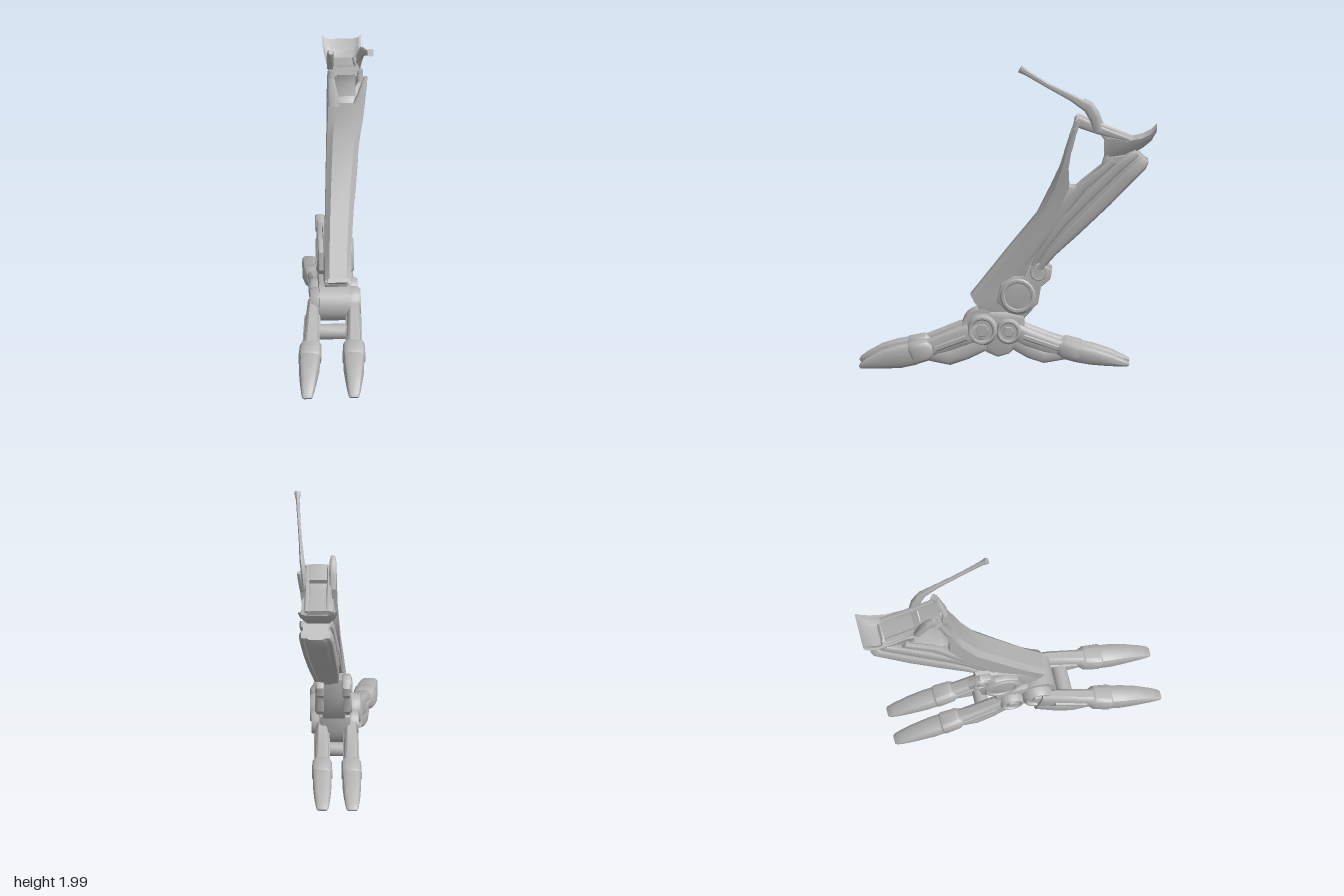
import * as THREE from 'three';
import { toCreasedNormals } from 'three/addons/utils/BufferGeometryUtils.js';

const metal = new THREE.MeshStandardMaterial({ color: 0xb4b4b4, side: THREE.DoubleSide });
metal.name = 'grey metal';

export function createModel() {
  const root = new THREE.Group();
  root.name = 'mechanicalLeg';
  const add = (geo, name, parent = root) => {
    const mesh = new THREE.Mesh(toCreasedNormals(geo, 0.6), metal);
    mesh.name = name;
    parent.add(mesh);
    return mesh;
  };
  // the leg drifts sideways as it rises
  const lean = (y) => 0.02 + (y - 0.45) * 0.085;

  // grid of points joined row by row; closed rings get end caps
  const skin = (rings, closed) => {
    const n = rings[0].length, idx = [];
    const cols = closed ? n : n - 1;
    for (let i = 0; i < rings.length - 1; i++)
      for (let j = 0; j < cols; j++) {
        const a = i * n + j, b = i * n + (j + 1) % n;
        idx.push(a, b, b + n, a, b + n, a + n);
      }
    if (closed) {
      const e = (rings.length - 1) * n;
      for (let j = 1; j < n - 1; j++) idx.push(0, j + 1, j, e, e + j, e + j + 1);
    }
    const g = new THREE.BufferGeometry();
    g.setAttribute('position', new THREE.Float32BufferAttribute(rings.flat(2), 3));
    g.setIndex(idx);
    return g;
  };

  // bevelled box section swept along rows of [x, y, z, halfWidth, halfHeight]
  const section = [[1, -0.45], [1, 0.45], [0.85, 0.8], [0.5, 1], [-0.5, 1], [-0.85, 0.8],
    [-1, 0.45], [-1, -0.45], [-0.85, -0.8], [-0.5, -1], [0.5, -1], [0.85, -0.8]];
  const loft = (rows) => skin(rows.map(([x, y, z, w, h], i) => {
    const p = rows[Math.max(i - 1, 0)], q = rows[Math.min(i + 1, rows.length - 1)];
    const t = new THREE.Vector2(q[2] - p[2], q[1] - p[1]).normalize();
    return section.map(([u, v]) => [x + u * w, y + v * h * t.x, z - v * h * t.y]);
  }), true);

  // side outline of [z, y] points extruded across x
  const plate = (pts, x0, x1, bevel = 0.012) => {
    const shape = new THREE.Shape(pts.map(([z, y]) => new THREE.Vector2(-z, y)));
    const g = new THREE.ExtrudeGeometry(shape, {
      depth: x1 - x0 - 2 * bevel, bevelEnabled: true, bevelThickness: bevel,
      bevelSize: bevel, bevelOffset: -bevel, bevelSegments: 2,
    });
    return g.translate(0, 0, x0 + bevel).rotateY(Math.PI / 2);
  };

  // round joint cover with raised rim and recessed face, facing outward along side
  const disc = (name, side, x, y, z, r, depth, bolt) => {
    const joint = new THREE.Group();
    joint.name = name;
    const prof = [[0, -depth], [r, -depth], [r, -0.35 * depth], [r * 0.86, 0], [r * 0.74, 0],
      [r * 0.66, -0.015], [0, -0.015]].map(([a, b]) => new THREE.Vector2(a, b));
    add(new THREE.LatheGeometry(prof, 20), name + 'Cover', joint);
    if (bolt) add(new THREE.CylinderGeometry(r * 0.4, r * 0.46, 0.02, 6).translate(0, -0.01, 0), name + 'Bolt', joint);
    joint.rotation.z = -side * Math.PI / 2;
    joint.position.set(x, y, z);
    root.add(joint);
  };

  // shin shell: [front z, front y, back z, back y, x0, x1]
  const shin = [[0.245, 0.48, 0.2, 0.41, -0.07, 0.1], [0.15, 0.6, 0.04, 0.52, -0.065, 0.105],
    [0, 0.79, -0.1, 0.7, -0.055, 0.125], [-0.18, 1.01, -0.28, 0.95, -0.04, 0.155],
    [-0.27, 1.19, -0.39, 1.19, -0.03, 0.18], [-0.33, 1.32, -0.385, 1.31, -0.022, 0.205],
    [-0.365, 1.43, -0.405, 1.43, -0.02, 0.22]];
  add(skin(shin.map(([fz, fy, bz, by, a, b]) => {
    const w = b - a, mz = fz * 0.75 + bz * 0.25, my = fy * 0.75 + by * 0.25;
    return [[a + 0.03, by, bz], [a, by, bz], [a, my, mz], [a + w * 0.17, fy, fz],
      [b - w * 0.17, fy, fz], [b, my, mz], [b, by, bz], [b - 0.03, by, bz]];
  }), false), 'shinShell');
  // fork prongs narrowing upward on each side of the notch: [y, z, x0, x1, half thickness]
  const prongs = {
    rightProng: [[1.4, -0.375, -0.018, 0.07, 0.02], [1.46, -0.395, -0.02, 0.052, 0.02],
      [1.53, -0.415, -0.02, 0.035, 0.018], [1.61, -0.44, -0.016, 0.018, 0.012]],
    leftProng: [[1.4, -0.375, 0.135, 0.214, 0.02], [1.46, -0.395, 0.165, 0.224, 0.02],
      [1.53, -0.415, 0.193, 0.233, 0.018], [1.585, -0.432, 0.215, 0.238, 0.012]],
  };
  for (const [name, rows] of Object.entries(prongs))
    add(loft(rows.map(([y, z, a, b, h]) => [(a + b) / 2, y, z, (b - a) / 2, h])), name);
  add(new THREE.BoxGeometry(0.13, 0.025, 0.07).rotateX(0.7).translate(0.015, 0.45, 0.19), 'shinLowerLip');

  // inner web joining shin and calf, sheared with the lean
  const web = plate([[0.14, 0.5], [0, 0.74], [-0.2, 0.98], [-0.36, 1.22], [-0.385, 1.2], [-0.43, 1.195], [-0.5, 1.245],
    [-0.59, 1.32], [-0.63, 1.39], [-0.76, 1.41], [-0.7, 1.3], [-0.45, 1.02], [-0.17, 0.66], [-0.06, 0.5]], -0.067, 0.073);
  const wp = web.attributes.position;
  for (let i = 0; i < wp.count; i++) wp.setX(i, wp.getX(i) + lean(wp.getY(i)));
  add(web, 'innerWeb');

  // calf pod with lengthwise ribs
  const calf = [[0.65, -0.17, 0.06, 0.04], [0.78, -0.255, 0.075, 0.06], [0.94, -0.39, 0.085, 0.085],
    [1.14, -0.59, 0.092, 0.09], [1.3, -0.75, 0.095, 0.085], [1.375, -0.83, 0.095, 0.08], [1.4, -0.855, 0.082, 0.066]];
  add(loft(calf.map(([y, z, w, h]) => [lean(y) + 0.01, y, z, w, h])), 'calfPod');
  for (const s of [-1, 1])
    for (const [name, off, k] of [['calfFrontRib', 0.55, 0.32], ['calfBackRib', -0.45, 0.42]])
      add(loft(calf.map(([y, z, w, h]) =>
        [lean(y) + 0.01 + s * (w - 0.006), y + off * h * 0.72, z + off * h * 0.72, 0.02, h * k])), name);
  // slim rods between shin and calf
  for (const s of [-1, 1])
    add(loft([[0.03 + s * 0.07, 0.68, -0.09, 0.015, 0.02], [0.06 + s * 0.075, 0.95, -0.29, 0.018, 0.022],
      [0.09 + s * 0.08, 1.2, -0.48, 0.018, 0.026], [0.1 + s * 0.08, 1.37, -0.68, 0.016, 0.02]]), 'sideRod');

  // knee scoop: [z, top y, bottom y, x0, x1]
  add(skin([[-0.615, 1.5, 1.35, 0.005, 0.195], [-0.66, 1.52, 1.37, 0, 0.2], [-0.76, 1.5, 1.4, -0.01, 0.205],
    [-0.86, 1.52, 1.45, -0.025, 0.215], [-0.92, 1.55, 1.5, -0.03, 0.222], [-0.955, 1.585, 1.56, -0.03, 0.225]]
    .map(([z, t, b, a, c]) => [[a + 0.015, t, z], [a, t, z], [a + 0.012, (t + b) / 2, z], [a + 0.05, b, z],
      [c - 0.05, b, z], [c - 0.012, (t + b) / 2, z], [c, t, z], [c - 0.015, t, z]]), false), 'kneeScoop');
  add(plate([[-0.56, 1.58], [-0.62, 1.5], [-0.625, 1.42], [-0.6, 1.34], [-0.63, 1.34], [-0.655, 1.42], [-0.65, 1.53]],
    0.03, 0.17, 0.006), 'scoopFrontWall');

  // tilted bracket frame over the opening
  for (const x of [0.03, 0.17])
    add(loft([[x, 1.625, -0.44, 0.014, 0.035], [x, 1.57, -0.58, 0.014, 0.028], [x, 1.5, -0.8, 0.014, 0.012]]), 'bracketRail');
  add(loft([[0.1, 1.63, -0.43, 0.075, 0.026], [0.1, 1.585, -0.55, 0.08, 0.02]]), 'bracketFrontBar');
  add(loft([[0.09, 1.555, -0.6, 0.075, 0.012], [0.085, 1.5, -0.8, 0.085, 0.01]]), 'bracketRearPlate');
  for (const x of [0.005, 0.19])
    add(loft([[x, 1.55, -0.425, 0.018, 0.014], [x, 1.63, -0.445, 0.018, 0.02]]), 'bracketClip');
  add(loft([[0.005, 1.56, -0.6, 0.02, 0.02], [0.005, 1.65, -0.555, 0.024, 0.03],
    [0.005, 1.71, -0.515, 0.022, 0.026], [0.005, 1.74, -0.485, 0.014, 0.012]]), 'rightHook');
  // long thin strap
  add(loft([[0.185, 1.56, -0.58, 0.014, 0.025], [0.193, 1.65, -0.555, 0.018, 0.034], [0.205, 1.72, -0.515, 0.016, 0.034],
    [0.215, 1.785, -0.41, 0.011, 0.022], [0.228, 1.87, -0.25, 0.01, 0.016], [0.238, 1.95, -0.12, 0.012, 0.018],
    [0.24, 1.977, -0.075, 0.02, 0.024]]), 'strap');

  // ankle: core, side plates and covers
  add(plate([[0.18, 0.34], [0.2, 0.42], [0.08, 0.55], [-0.08, 0.66], [-0.22, 0.68], [-0.22, 0.56],
    [-0.15, 0.38], [-0.1, 0.33]], -0.07, 0.08), 'ankleCore');
  for (const s of [-1, 1]) {
    const x = 0.008 + s * 0.085;
    add(plate([[0.05, 0.56], [0.075, 0.44], [0, 0.37], [-0.12, 0.37], [-0.19, 0.43], [-0.21, 0.54], [-0.27, 0.59],
      [-0.28, 0.65], [-0.2, 0.7], [-0.13, 0.68], [-0.1, 0.61], [-0.03, 0.61]], x - 0.026, x + 0.026), 'anklePlate');
    disc('ankleJoint', s, 0.008 + s * 0.12, 0.48, -0.06, 0.122, 0.045, false);
    disc('upperJoint', s, 0.008 + s * 0.118, 0.635, -0.195, 0.06, 0.04, true);
    disc('frontHubJoint', s, s * 0.162, 0.26, 0.17, 0.1, 0.075, true);
    disc('backHubJoint', s, s * 0.152, 0.25, 0, 0.082, 0.07, true);
  }

  // foot hub
  add(new THREE.CylinderGeometry(0.12, 0.12, 0.2, 24).rotateZ(Math.PI / 2).translate(-0.005, 0.268, 0.18), 'frontHub');
  add(plate([[0.22, 0.37], [0.28, 0.29], [0.22, 0.17], [0.14, 0.11], [0.07, 0.08], [0, 0.1], [-0.07, 0.16],
    [-0.1, 0.24], [-0.1, 0.34], [0, 0.37]], -0.105, 0.1, 0.02), 'hubBody');
  add(new THREE.CylinderGeometry(0.05, 0.05, 0.2, 12).rotateZ(Math.PI / 2).translate(-0.025, 0.15, 0.355), 'frontCrossbar');
  add(new THREE.CylinderGeometry(0.045, 0.045, 0.16, 12).rotateZ(Math.PI / 2).translate(-0.02, 0.15, -0.18), 'backCrossbar');

  // toe: link, side rail, under pad, knuckle and claw, rows given as [z, y, halfWidth, halfHeight]
  const toe = (name, xAt, parts) => {
    const group = new THREE.Group();
    group.name = name;
    for (const [part, rows] of Object.entries(parts))
      add(loft(rows.map(([z, y, w, h]) => [xAt(z), y, z, w, h])), part, group);
    root.add(group);
  };
  const front = {
    toeLink: [[0.18, 0.25, 0.035, 0.065], [0.3, 0.215, 0.042, 0.068], [0.42, 0.17, 0.045, 0.062], [0.53, 0.13, 0.048, 0.058]],
    toeRail: [[0.27, 0.215, 0.052, 0.024], [0.47, 0.14, 0.054, 0.024]],
    toePad: [[0.16, 0.17, 0.032, 0.045], [0.28, 0.12, 0.04, 0.052], [0.38, 0.083, 0.042, 0.05], [0.52, 0.1, 0.038, 0.038]],
    toeKnuckle: [[0.49, 0.135, 0.05, 0.045], [0.525, 0.13, 0.069, 0.068], [0.62, 0.105, 0.074, 0.072], [0.63, 0.1, 0.068, 0.062]],
    toeClaw: [[0.6, 0.105, 0.067, 0.07], [0.7, 0.085, 0.066, 0.072], [0.8, 0.066, 0.056, 0.06],
      [0.9, 0.038, 0.043, 0.034], [0.945, 0.022, 0.035, 0.018], [0.957, 0.012, 0.029, 0.01]],
  };
  const back = {
    toeLink: [[-0.02, 0.25, 0.035, 0.06], [-0.12, 0.205, 0.042, 0.06], [-0.24, 0.162, 0.045, 0.056], [-0.37, 0.125, 0.046, 0.052]],
    toeRail: [[-0.1, 0.215, 0.05, 0.022], [-0.32, 0.14, 0.052, 0.022]],
    toePad: [[-0.04, 0.17, 0.032, 0.04], [-0.14, 0.118, 0.038, 0.045], [-0.23, 0.085, 0.042, 0.042], [-0.36, 0.098, 0.038, 0.032]],
    toeKnuckle: [[-0.32, 0.14, 0.048, 0.04], [-0.355, 0.132, 0.062, 0.06], [-0.45, 0.108, 0.066, 0.06], [-0.46, 0.105, 0.06, 0.052]],
    toeClaw: [[-0.43, 0.108, 0.06, 0.057], [-0.53, 0.088, 0.06, 0.055], [-0.64, 0.065, 0.053, 0.042],
      [-0.73, 0.042, 0.043, 0.024], [-0.765, 0.033, 0.036, 0.014], [-0.775, 0.029, 0.028, 0.007]],
  };
  toe('frontRightToe', (z) => -0.125 - 0.1 * z, front);
  toe('frontLeftToe', (z) => 0.125 - 0.045 * z, front);
  toe('backRightToe', (z) => -0.1 + 0.03 * z, back);
  toe('backLeftToe', (z) => 0.085 + 0.02 * z, back);
  return root;
}
